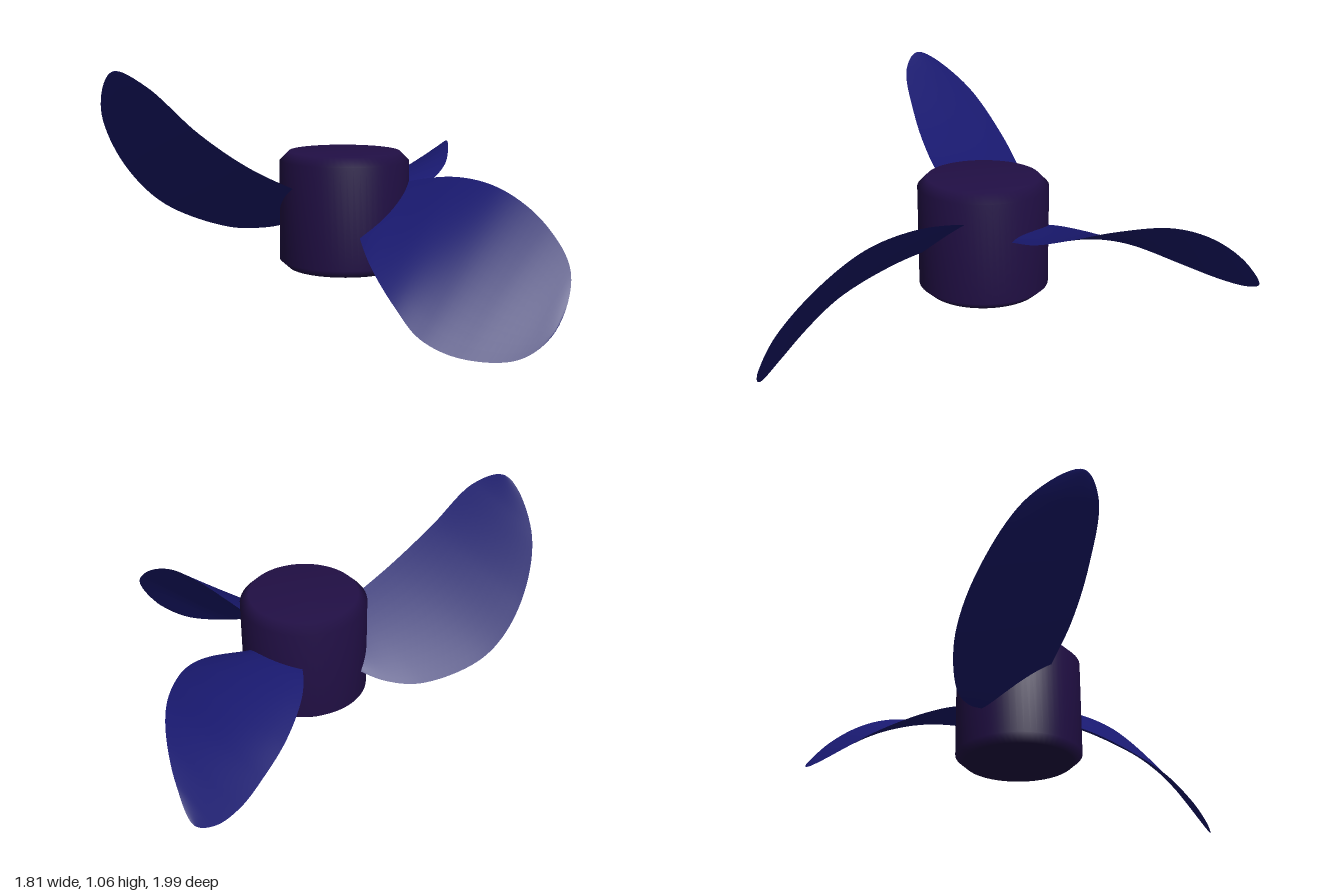
import * as THREE from 'three';
import { ParametricGeometry } from 'three/addons/geometries/ParametricGeometry.js';
import { mergeGeometries } from 'three/addons/utils/BufferGeometryUtils.js';

const THICKNESS = 0.012;

// Rim of each blade: out along the straighter edge, round the tip, back along the bulging edge
const rims = {
  leftBlade: [
    [0.14, 0.47, 0.1], [0.03, 0.5, 0.17], [-0.1, 0.56, 0.23], [-0.3, 0.67, 0.32], [-0.5, 0.82, 0.39],
    [-0.7, 1.01, 0.43], [-0.83, 1.07, 0.37], [-0.905, 0.89, 0.14], [-0.82, 0.63, -0.05],
    [-0.65, 0.44, -0.15], [-0.37, 0.33, -0.165], [-0.2, 0.33, -0.125], [-0.05, 0.37, -0.05],
  ],
  frontBlade: [
    [0.2, 0.48, 0.03], [0.33, 0.54, 0.1], [0.45, 0.59, 0.2], [0.6, 0.62, 0.37], [0.73, 0.59, 0.55],
    [0.85, 0.48, 0.73], [0.905, 0.32, 0.88], [0.82, 0.12, 0.975], [0.68, 0.02, 0.99], [0.47, 0.015, 0.94],
    [0.33, 0.07, 0.86], [0.25, 0.17, 0.74], [0.19, 0.28, 0.55], [0.17, 0.36, 0.38], [0.17, 0.42, 0.2],
  ],
  backBlade: [
    [0.2, 0.49, -0.02], [0.18, 0.49, -0.2], [0.2, 0.465, -0.36], [0.29, 0.42, -0.58], [0.4, 0.38, -0.75],
    [0.5, 0.355, -0.88], [0.6, 0.36, -0.97], [0.68, 0.4, -1], [0.735, 0.53, -0.91], [0.76, 0.63, -0.77],
    [0.757, 0.67, -0.62], [0.72, 0.645, -0.42], [0.66, 0.59, -0.24], [0.57, 0.54, -0.12], [0.4, 0.49, -0.03],
  ],
};

// Lens-shaped blade: two bowed skins stretched between matching points of the rim
function bladeGeometry(points) {
  const rim = new THREE.CatmullRomCurve3(points.map((p) => new THREE.Vector3(...p)));
  const skin = (flip) => {
    const geometry = new ParametricGeometry((u, v, target) => {
      const t = THREE.MathUtils.clamp(v, 0, 1) / 2;
      let from = rim.getPoint(1 - t), to = rim.getPoint(t);
      if (flip) [from, to] = [to, from];
      const t0 = Math.max(t - 0.02, 0), t1 = Math.min(t + 0.02, 0.5);
      const along = rim.getPoint(t1).add(rim.getPoint(1 - t1))
        .sub(rim.getPoint(t0)).sub(rim.getPoint(1 - t0));
      const normal = to.clone().sub(from).cross(along).normalize();
      const bulge = THICKNESS * 4 * u * (1 - u) * Math.sqrt(1 - 2 * t);
      target.lerpVectors(from, to, u).addScaledVector(normal, bulge);
    }, 12, 56);
    geometry.computeVertexNormals();
    return geometry;
  };
  return mergeGeometries([skin(false), skin(true)]);
}

export function createModel() {
  const group = new THREE.Group();
  const hubMaterial = new THREE.MeshStandardMaterial({ color: 0x210f45 });
  const bladeMaterial = new THREE.MeshStandardMaterial({ color: 0x191970, side: THREE.DoubleSide });

  // Hub with chamfered rims
  const profile = [[0, 0.19], [0.245, 0.19], [0.285, 0.225], [0.285, 0.665], [0.245, 0.705], [0, 0.705]];
  const hub = new THREE.Mesh(
    new THREE.LatheGeometry(profile.map(([r, y]) => new THREE.Vector2(r, y)), 64), hubMaterial);
  hub.position.set(0.14, 0, 0.08);
  hub.name = 'hub';
  group.add(hub);

  // Three blades
  for (const [name, points] of Object.entries(rims)) {
    const blade = new THREE.Mesh(bladeGeometry(points), bladeMaterial);
    blade.name = name;
    group.add(blade);
  }
  return group;
}
